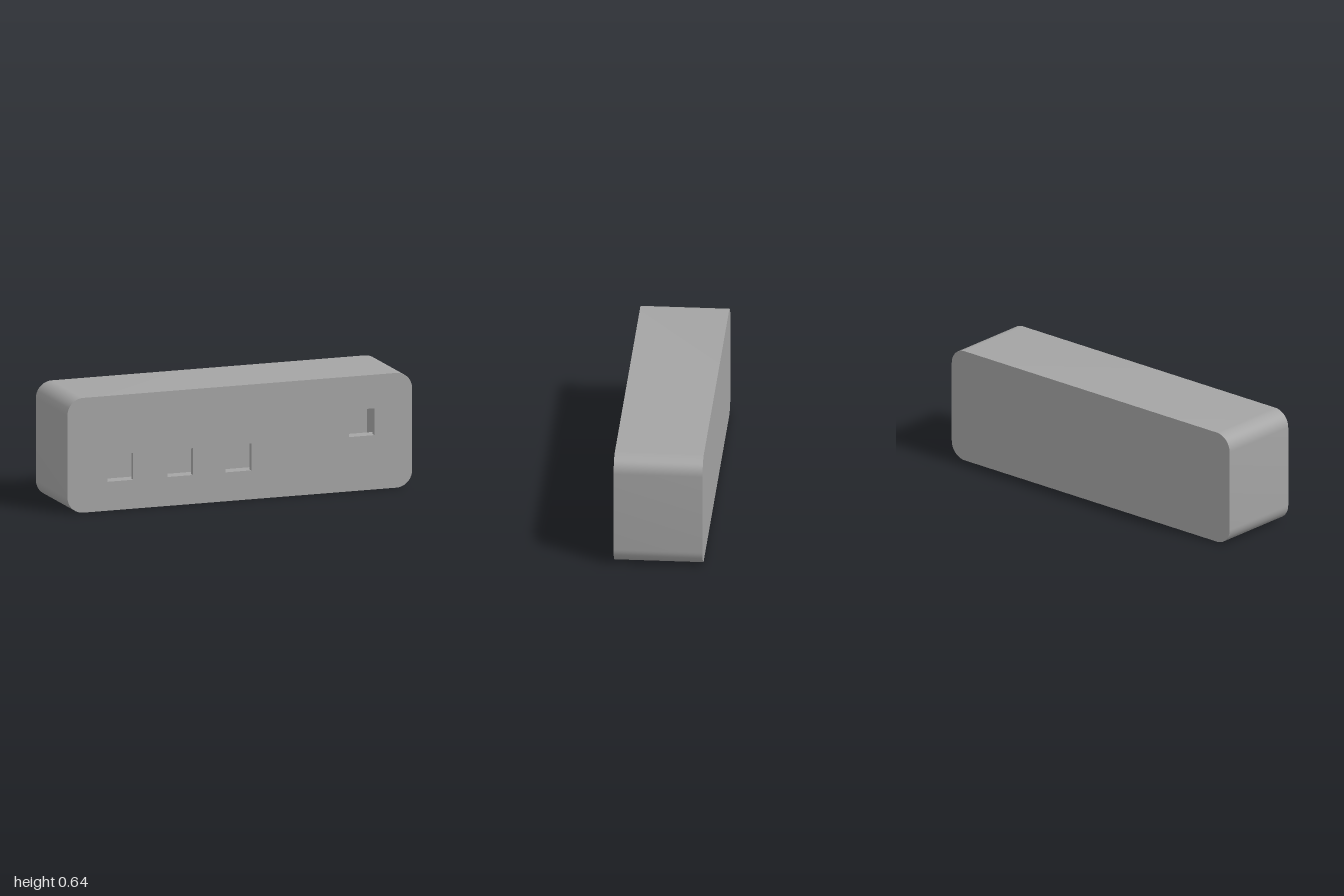
import * as THREE from 'three';
import { mergeGeometries, toCreasedNormals } from 'three/addons/utils/BufferGeometryUtils.js';

const FRONT = 0.242, BACK = -0.242;             // outer faces
const INNER_FRONT = 0.2125, INNER_BACK = -0.21; // cavity faces
const HEIGHT = 0.637, WINDOW = 0.149;

// Counter-clockwise outline of a rectangle, rounded when r > 0
function outline(cx, cy, w, h, r = 0, steps = 14) {
  const pts = [];
  const corners = [[1, 1], [-1, 1], [-1, -1], [1, -1]];
  corners.forEach(([sx, sy], i) => {
    const n = r > 0 ? steps : 0;
    for (let k = 0; k <= n; k++) {
      const a = (i + (n ? k / n : 0)) * Math.PI / 2;
      pts.push(new THREE.Vector2(
        cx + sx * (w / 2 - r) + r * Math.cos(a),
        cy + sy * (h / 2 - r) + r * Math.sin(a)));
    }
  });
  return pts;
}

// Band of quads along an outline; faces outward when z0 < z1, inward otherwise
function band(pts, z0, z1) {
  const pos = [];
  pts.forEach((a, i) => {
    const b = pts[(i + 1) % pts.length];
    pos.push(a.x, a.y, z0, b.x, b.y, z0, b.x, b.y, z1);
    pos.push(a.x, a.y, z0, b.x, b.y, z1, a.x, a.y, z1);
  });
  const g = new THREE.BufferGeometry();
  g.setAttribute('position', new THREE.Float32BufferAttribute(pos, 3));
  return toCreasedNormals(g, 0.5);
}

// Flat panel at depth z, with optional holes, facing +z or -z
function panel(pts, z, holes = [], facesBack = false) {
  const shape = new THREE.Shape(pts);
  shape.holes = holes.map(h => new THREE.Path(h));
  const g = new THREE.ShapeGeometry(shape);
  g.translate(0, 0, z);
  if (facesBack) {
    g.index.array.reverse();
    g.computeVertexNormals();
  }
  const flat = g.toNonIndexed();
  flat.deleteAttribute('uv');
  return flat;
}

export function createModel() {
  const model = new THREE.Group();
  model.name = 'enclosure';
  const material = new THREE.MeshStandardMaterial({ color: 0xa4a4a4 });
  const add = (name, ...parts) => {
    const mesh = new THREE.Mesh(mergeGeometries(parts), material);
    mesh.name = name;
    model.add(mesh);
  };

  const outer = outline(0, HEIGHT / 2, 2, HEIGHT, 0.092);
  const inner = outline(0, HEIGHT / 2, 1.82, 0.517);
  const centres = [[-0.693, 0.235], [-0.346, 0.235], [-0.008, 0.235], [0.708, 0.376]];
  const windows = centres.map(([x, y]) => outline(x, y, WINDOW, WINDOW));

  // Rounded outer shell
  add('outerShell', band(outer, BACK, FRONT));
  add('frontFace', panel(outer, FRONT, windows));
  add('backFace', panel(outer, BACK, [], true));

  // Hollow inside
  add('cavity',
    band(inner, INNER_FRONT, INNER_BACK),
    panel(inner, INNER_BACK),
    panel(inner, INNER_FRONT, windows, true));

  // Edges of the square openings through the front wall
  add('windowEdges', ...windows.map(w => band(w, FRONT, INNER_FRONT)));

  // Small ledges behind the openings, level with their lower edges
  const depth = 0.05, thickness = 0.02;
  add('windowLedges', ...centres.map(([x, y]) =>
    new THREE.BoxGeometry(WINDOW + 0.05, thickness, depth)
      .translate(x, y - WINDOW / 2 - thickness / 2, INNER_FRONT - depth / 2)));

  return model;
}
